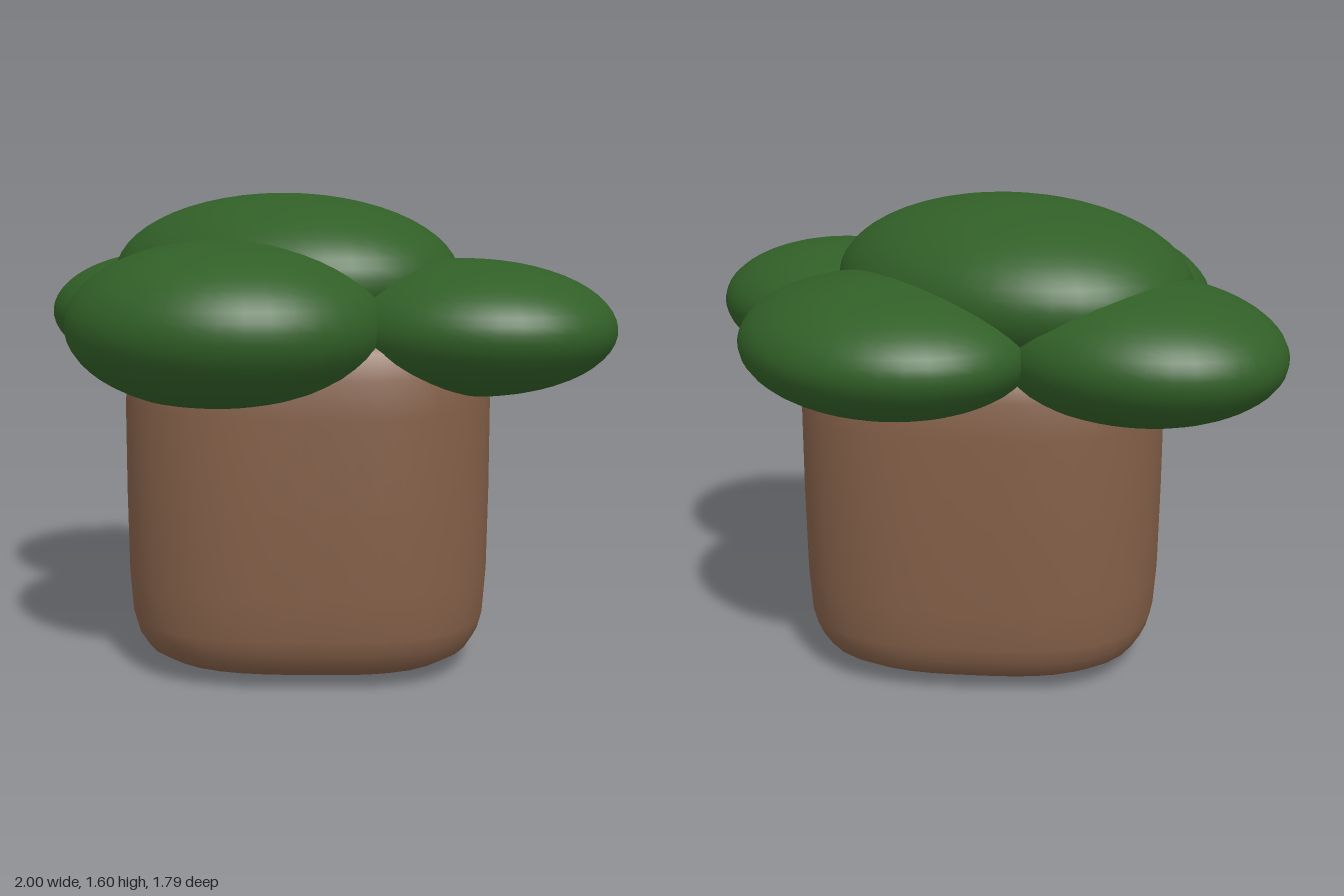
import * as THREE from 'three';
import { mergeVertices } from 'three/addons/utils/BufferGeometryUtils.js';

const material = (name, color) => {
  const m = new THREE.MeshStandardMaterial({ color });
  m.name = name;
  return m;
};

// Lathe whose round section is pushed out into a soft square.
function softSquareLathe(profile) {
  const points = profile.map(([r, y]) => new THREE.Vector2(r, y));
  let geo = new THREE.LatheGeometry(points, 48);
  const pos = geo.attributes.position;
  for (let i = 0; i < pos.count; i++) {
    const x = pos.getX(i), z = pos.getZ(i), r = Math.hypot(x, z);
    if (r < 1e-6) continue;
    const k = Math.pow(Math.abs(x / r) ** 3 + Math.abs(z / r) ** 3, -1 / 3);
    pos.setXYZ(i, x * k, pos.getY(i), z * k * 1.015);
  }
  geo.deleteAttribute('uv');
  geo.deleteAttribute('normal');
  geo = mergeVertices(geo, 1e-4);
  geo.computeVertexNormals();
  return geo;
}

export function createModel() {
  const model = new THREE.Group();
  model.name = 'stumpyTree';
  const bark = material('bark brown', 0x835f48);
  const leaf = material('leaf green', 0x315f27);
  const dark = material('underside black', 0x050505);

  // Trunk with rounded bottom and top edges
  const trunk = new THREE.Group();
  trunk.name = 'trunk';
  trunk.position.set(-0.01, 0, 0.02);
  const wall = new THREE.Mesh(softSquareLathe([
    [0.45, 0.02], [0.51, 0.04], [0.565, 0.075], [0.595, 0.125], [0.61, 0.18],
    [0.62, 0.32], [0.624, 0.6], [0.624, 0.9], [0.615, 1.02], [0.59, 1.1],
    [0.53, 1.16], [0.42, 1.19], [0, 1.2],
  ]), bark);
  wall.name = 'trunkBark';
  const base = new THREE.Mesh(softSquareLathe([[0, 0], [0.25, 0.005], [0.45, 0.02]]), dark);
  base.name = 'trunkUnderside';
  trunk.add(wall, base);
  model.add(trunk);

  // Foliage: flattened ellipsoids lying along the diagonal, dark at the lowest point
  const capAngle = 0.33;
  const puffGeo = new THREE.SphereGeometry(1, 40, 24, 0, Math.PI * 2, 0, Math.PI - capAngle);
  const capGeo = new THREE.SphereGeometry(1, 40, 4, 0, Math.PI * 2, Math.PI - capAngle, capAngle);
  const puffs = [
    // name, centre, radii, turn in degrees
    ['topFoliage', [-0.105, 1.31, -0.06], [0.68, 0.29, 0.54], -45],
    ['backRightFoliage', [-0.52, 1.16, -0.38], [0.526, 0.23, 0.44], -46],
    ['backLeftFoliage', [0.28, 1.16, -0.38], [0.55, 0.225, 0.466], -52],
    ['frontLeftFoliage', [0.52, 1.16, 0.29], [0.511, 0.225, 0.435], -42],
    ['frontRightFoliage', [-0.27, 1.17, 0.36], [0.553, 0.28, 0.516], -45],
  ];
  for (const [name, centre, radii, turn] of puffs) {
    const puff = new THREE.Group();
    puff.name = name;
    puff.position.set(...centre);
    puff.scale.set(...radii);
    puff.rotation.y = THREE.MathUtils.degToRad(turn);
    const body = new THREE.Mesh(puffGeo, leaf);
    body.name = name + 'Leaves';
    const cap = new THREE.Mesh(capGeo, dark);
    cap.name = name + 'Underside';
    puff.add(body, cap);
    model.add(puff);
  }
  return model;
}
